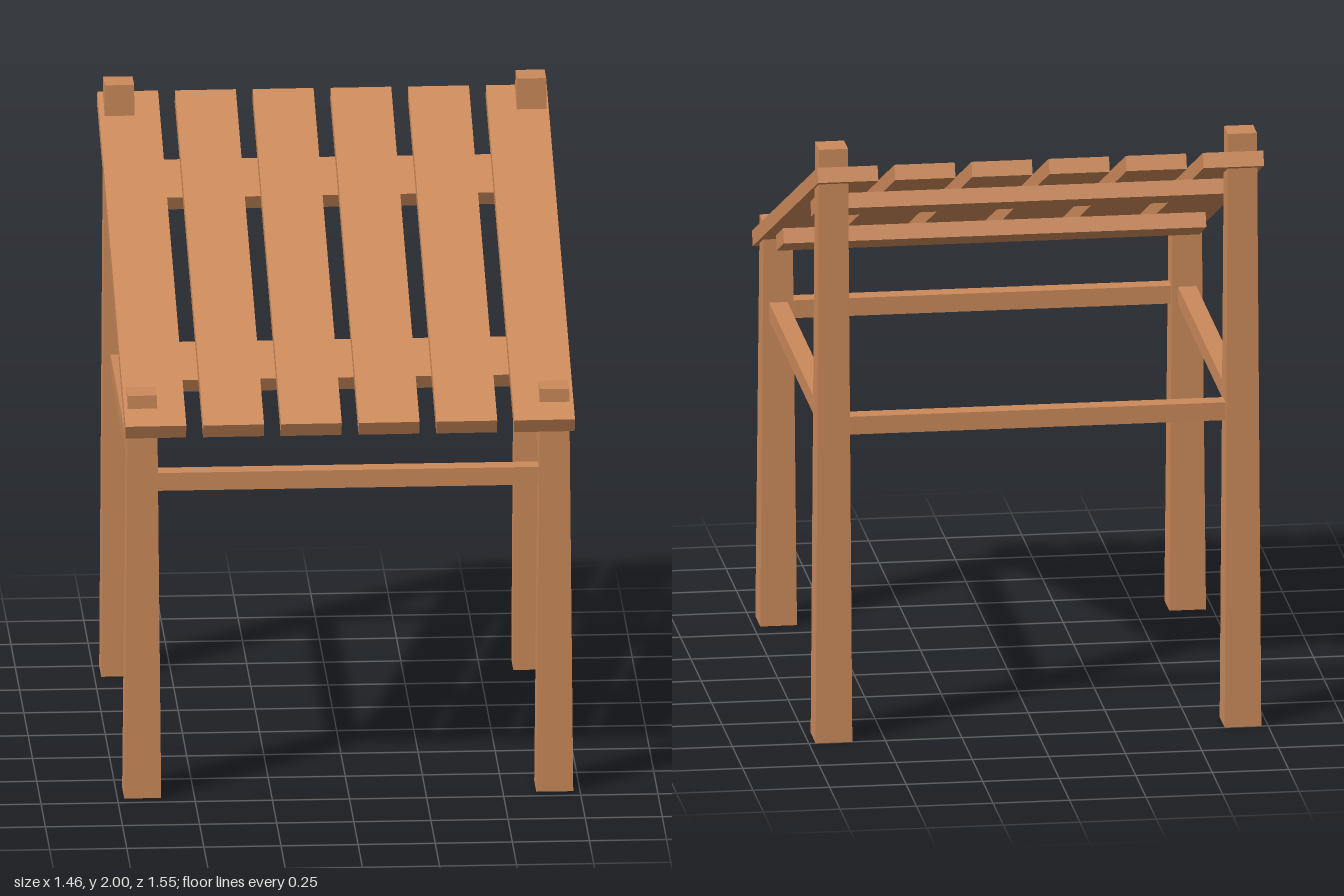
import * as THREE from 'three';

const wood = new THREE.MeshStandardMaterial({ color: 0xcc8a5a, flatShading: true });

function box(parent, name, size, pos) {
  const mesh = new THREE.Mesh(new THREE.BoxGeometry(...size), wood);
  mesh.name = name;
  mesh.position.set(...pos);
  parent.add(mesh);
  return mesh;
}

// Square post standing on the ground, slightly narrower at the top
function post(parent, name, height, x, z) {
  const geo = new THREE.CylinderGeometry(0.0475 * Math.SQRT2, 0.06 * Math.SQRT2, height, 4, 1, false, Math.PI / 4);
  const mesh = new THREE.Mesh(geo, wood);
  mesh.name = name;
  mesh.position.set(x, height / 2, z);
  parent.add(mesh);
}

export function createModel() {
  const model = new THREE.Group();
  model.name = 'leanToShelter';

  const legX = 0.668, frontZ = 0.645, backZ = -0.69;
  const railY = 1.06, rail = 0.06;

  // Legs and the side rails joining front to back
  for (const [side, s] of [['left', 1], ['right', -1]]) {
    post(model, side + 'FrontLeg', 1.36, s * legX, frontZ);
    post(model, side + 'BackLeg', 2, s * legX, backZ);
    box(model, side + 'Rail', [rail, rail, frontZ - backZ], [s * legX, railY, (frontZ + backZ) / 2]);
  }

  // Rails across the front and back
  box(model, 'frontRail', [2 * legX, rail, rail], [0, railY, frontZ - 0.005]);
  box(model, 'backRail', [2 * legX, rail, rail], [0, railY, backZ - 0.003]);

  // Sloping roof, lower at the front
  const roof = new THREE.Group();
  roof.name = 'roof';
  roof.position.set(0, 1.59, 0);
  roof.rotation.x = Math.atan2(0.664, 1.528);
  model.add(roof);

  // Planks, very slightly askew
  for (let i = 0; i < 6; i++) {
    const plank = box(roof, 'roofPlank' + (i + 1), [0.197, 0.05, 1.666], [-0.632 + i * 0.252, 0, 0]);
    plank.rotation.y = 0.004;
  }

  // Battens under the planks
  box(roof, 'frontBatten', [1.38, 0.05, 0.19], [0, -0.052, 0.45]);
  box(roof, 'backBatten', [1.38, 0.05, 0.19], [0, -0.052, -0.456]);

  return model;
}
